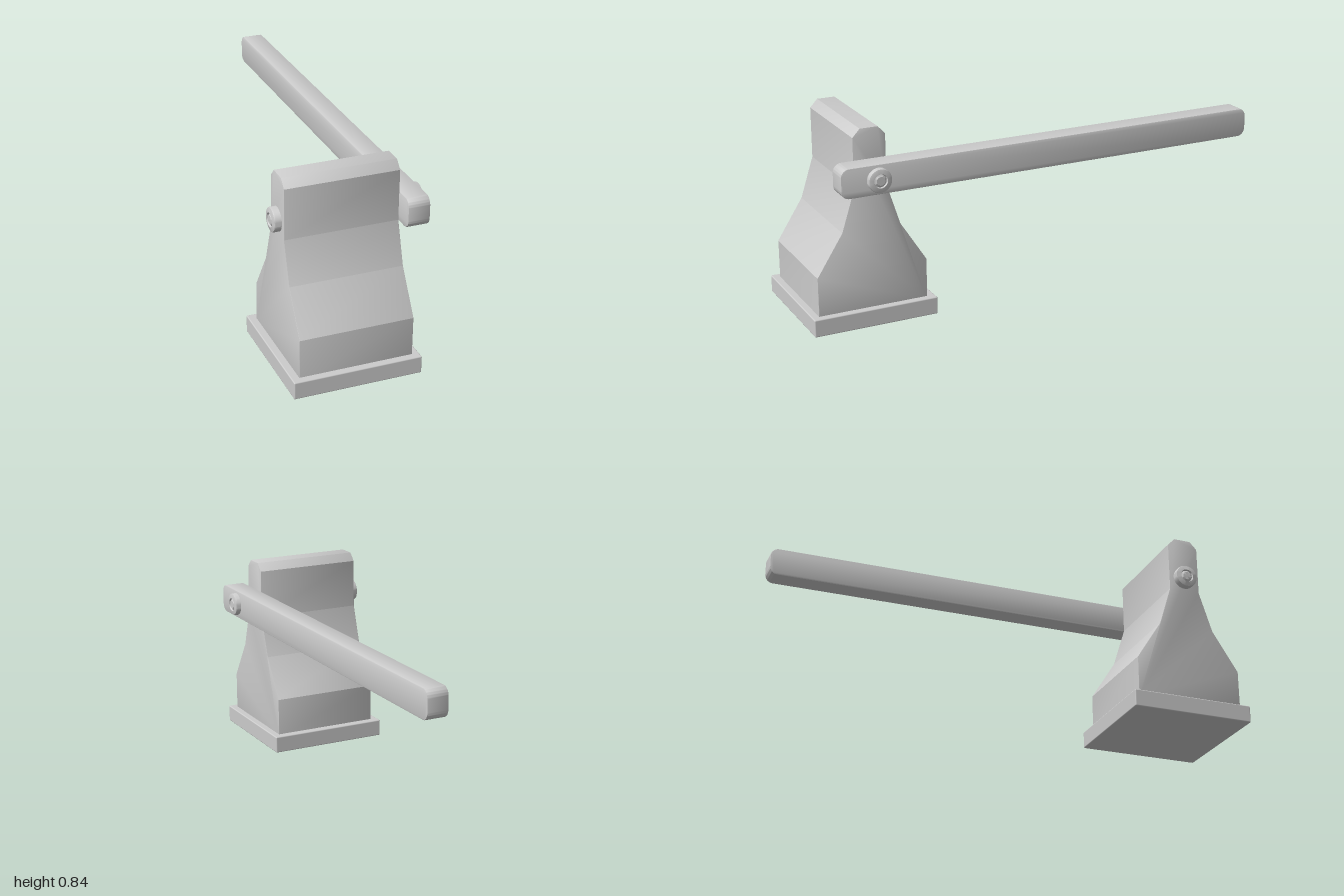
import * as THREE from 'three';
import { RoundedBoxGeometry } from 'three/addons/geometries/RoundedBoxGeometry.js';
import { toCreasedNormals } from 'three/addons/utils/BufferGeometryUtils.js';

const PIVOT_Y = 0.65, PIVOT_Z = 0.732;

// Extrudes a side-view shape (drawn with x = -z) from x0 to x1.
function extrudeAcross(shape, x0, x1, bevel, crease) {
  const geometry = new THREE.ExtrudeGeometry(shape, {
    depth: x1 - x0 - 2 * bevel, curveSegments: 8,
    bevelEnabled: true, bevelThickness: bevel, bevelSize: bevel,
    bevelOffset: -bevel, bevelSegments: 2,
  });
  geometry.rotateY(Math.PI / 2).translate(x0 + bevel, 0, 0);
  return toCreasedNormals(geometry, crease);
}

function roundedRect(x0, y0, x1, y1, r) {
  const s = new THREE.Shape();
  s.absarc(x1 - r, y0 + r, r, -Math.PI / 2, 0);
  s.absarc(x1 - r, y1 - r, r, 0, Math.PI / 2);
  s.absarc(x0 + r, y1 - r, r, Math.PI / 2, Math.PI);
  s.absarc(x0 + r, y0 + r, r, Math.PI, Math.PI * 1.5);
  s.closePath();
  return s;
}

export function createModel() {
  const group = new THREE.Group();
  const material = new THREE.MeshStandardMaterial({ color: 0xcccccc });
  const add = (name, geometry) => {
    const mesh = new THREE.Mesh(geometry, material);
    mesh.name = name;
    group.add(mesh);
    return mesh;
  };

  // Square foot plate
  add('basePlate', new RoundedBoxGeometry(0.54, 0.075, 0.54, 2, 0.005))
    .position.set(-0.045, 0.0375, 0.73);

  // Tapered pedestal, mirrored front to back: [half depth, height]
  const half = [[0.238, 0.06], [0.238, 0.24], [0.126, 0.415], [0.07, 0.59], [0.07, 0.805], [0.038, 0.839]];
  const outline = [
    ...half.map(([d, y]) => new THREE.Vector2(d - PIVOT_Z, y)),
    ...half.slice().reverse().map(([d, y]) => new THREE.Vector2(-d - PIVOT_Z, y)),
  ];
  add('pedestal', extrudeAcross(new THREE.Shape(outline), -0.283, 0.195, 0.002, 0.42));

  // Long lever on the left side
  add('leverArm', extrudeAcross(roundedRect(-0.89, 0.587, 1, 0.712, 0.036), 0.194, 0.287, 0.005, 0.6));

  // Pivot pin with a ringed cap at each end: [radius, distance in from the end]
  const cap = [[0, 0.002], [0.018, 0.002], [0.022, 0.006], [0.026, 0.008], [0.029, 0.001], [0.043, 0.003], [0.048, 0.005], [0.05, 0.01]];
  const profile = [
    ...cap.map(([r, d]) => new THREE.Vector2(r, -0.316 + d)),
    ...cap.slice().reverse().map(([r, d]) => new THREE.Vector2(r, 0.313 - d)),
  ];
  const pin = new THREE.LatheGeometry(profile, 32).rotateZ(-Math.PI / 2);
  add('pivotPin', toCreasedNormals(pin, 0.5)).position.set(0, PIVOT_Y, PIVOT_Z);

  return group;
}
